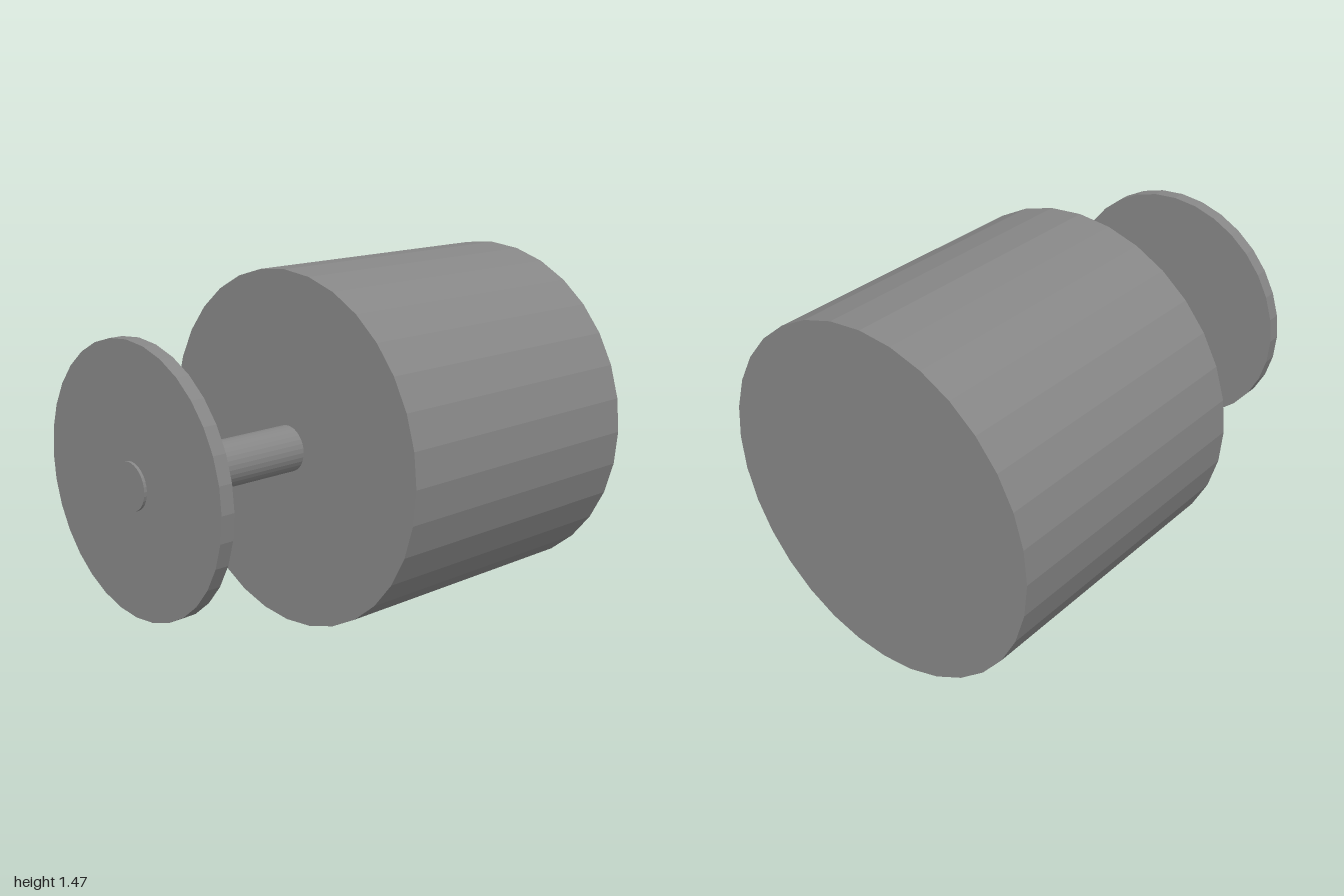
import * as THREE from 'three';

const SIDES = 32;

export function createModel() {
  const model = new THREE.Group();
  const material = new THREE.MeshStandardMaterial({ color: 0x878787, flatShading: true });

  // Faceted cylinder lying along z, between zBack and zFront
  function addCylinder(name, radius, zBack, zFront, x, y) {
    const geometry = new THREE.CylinderGeometry(radius, radius, zFront - zBack, SIDES);
    geometry.rotateX(Math.PI / 2);
    const mesh = new THREE.Mesh(geometry, material);
    mesh.name = name;
    mesh.position.set(x, y, (zBack + zFront) / 2);
    model.add(mesh);
  }

  // Large drum standing on the ground
  addCylinder('body', 0.735, -1, 0.228, 0, 0.735);
  // Thin rod from the drum, its tip just proud of the disc
  addCylinder('shaft', 0.095, 0.2, 1, 0.015, 0.747);
  // Thin disc near the end of the rod
  addCylinder('disc', 0.535, 0.932, 0.988, 0.013, 0.761);

  return model;
}
